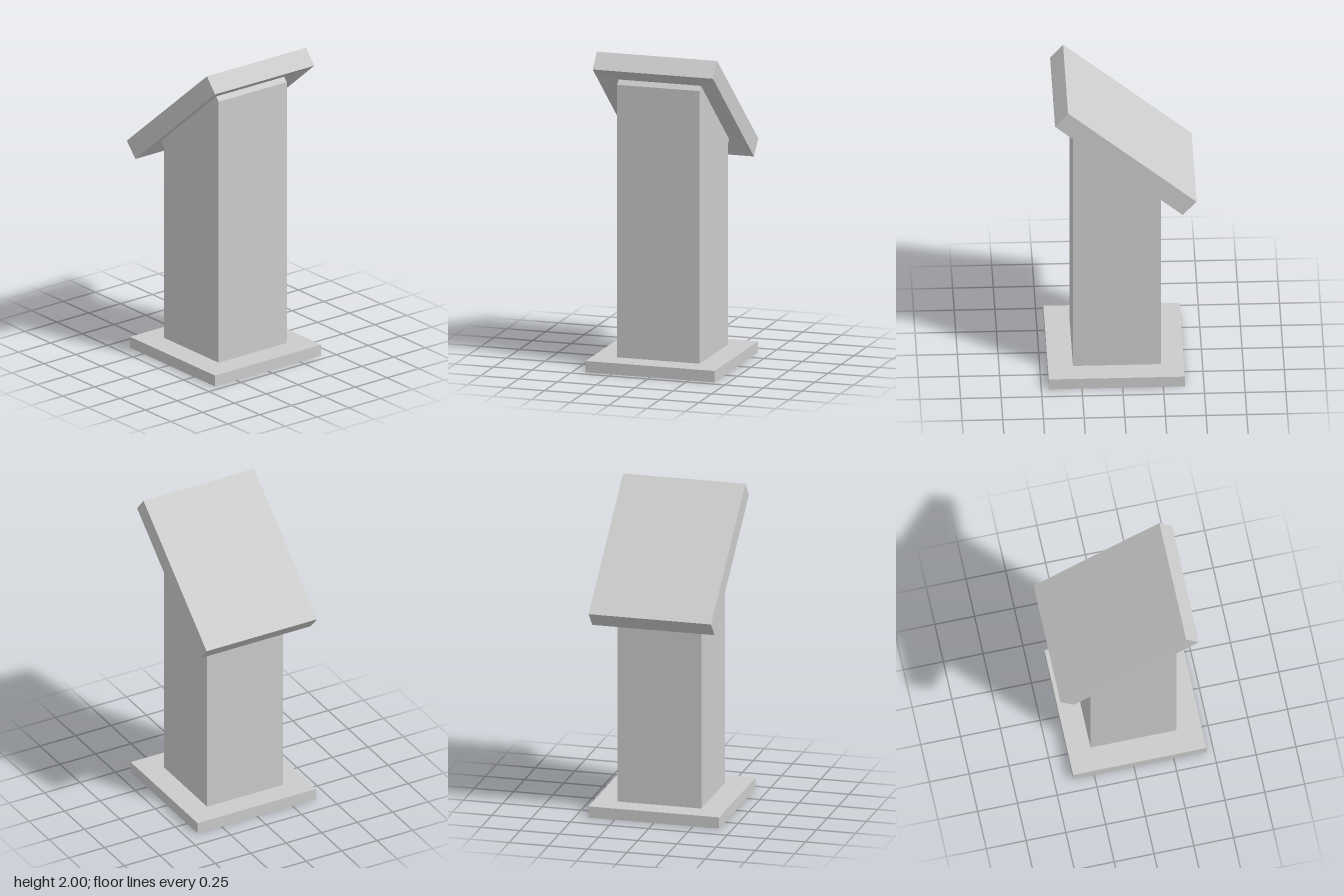
import * as THREE from 'three';

const material = new THREE.MeshStandardMaterial({ color: 0xcccccc, flatShading: true });

function addMesh(group, geometry, name) {
  const mesh = new THREE.Mesh(geometry, material);
  mesh.name = name;
  group.add(mesh);
  return mesh;
}

// Rectangular ring with a front and a back edge, each given as [z, y]
function ring(x0, x1, front, back) {
  return [
    [x0, front[1], front[0]], [x1, front[1], front[0]],
    [x1, back[1], back[0]], [x0, back[1], back[0]],
  ];
}

// Flat-sided skin over rings listed from top to bottom, closed by a cap on the first
function loft(rings) {
  const points = [];
  const quad = (a, b, c, d) => points.push(...a, ...b, ...c, ...a, ...c, ...d);
  quad(...rings[0]);
  for (let r = 0; r < rings.length - 1; r++) {
    const upper = rings[r], lower = rings[r + 1];
    for (let i = 0; i < 4; i++) {
      const j = (i + 1) % 4;
      quad(upper[i], lower[i], lower[j], upper[j]);
    }
  }
  const geometry = new THREE.BufferGeometry();
  geometry.setAttribute('position', new THREE.Float32BufferAttribute(points, 3));
  geometry.computeVertexNormals();
  return geometry;
}

export function createModel() {
  const group = new THREE.Group();
  group.name = 'lectern';

  // Floor plate
  const base = addMesh(group, new THREE.BoxGeometry(0.835, 0.072, 0.837), 'base');
  base.position.set(0, 0.036, 0.036);

  // Post: side profile in (z, y) with a short collar square to the sloping desk
  const xMin = -0.265, xMax = 0.27;
  const collarFront = [0.275, 1.82], collarBack = [-0.263, 1.364];
  const profile = [[0.3, 0.07], [0.3, 1.792], collarFront, collarBack, [-0.24, 1.337], [-0.24, 0.07]];
  const shape = new THREE.Shape(profile.map(([z, y]) => new THREE.Vector2(-z, y)));
  const post = new THREE.ExtrudeGeometry(shape, { depth: xMax - xMin, bevelEnabled: false });
  post.rotateY(Math.PI / 2);
  post.translate(xMin, 0, 0);
  addMesh(group, post, 'post');

  // Sloping desk: top, outer rim, then an underside that rises inward to the collar
  const desk = loft([
    ring(-0.385, 0.395, [0.335, 2], [-0.455, 1.335]),
    ring(-0.385, 0.395, [0.415, 1.905], [-0.37, 1.24]),
    ring(xMin, xMax, collarFront, collarBack),
  ]);
  addMesh(group, desk, 'desk');

  return group;
}
